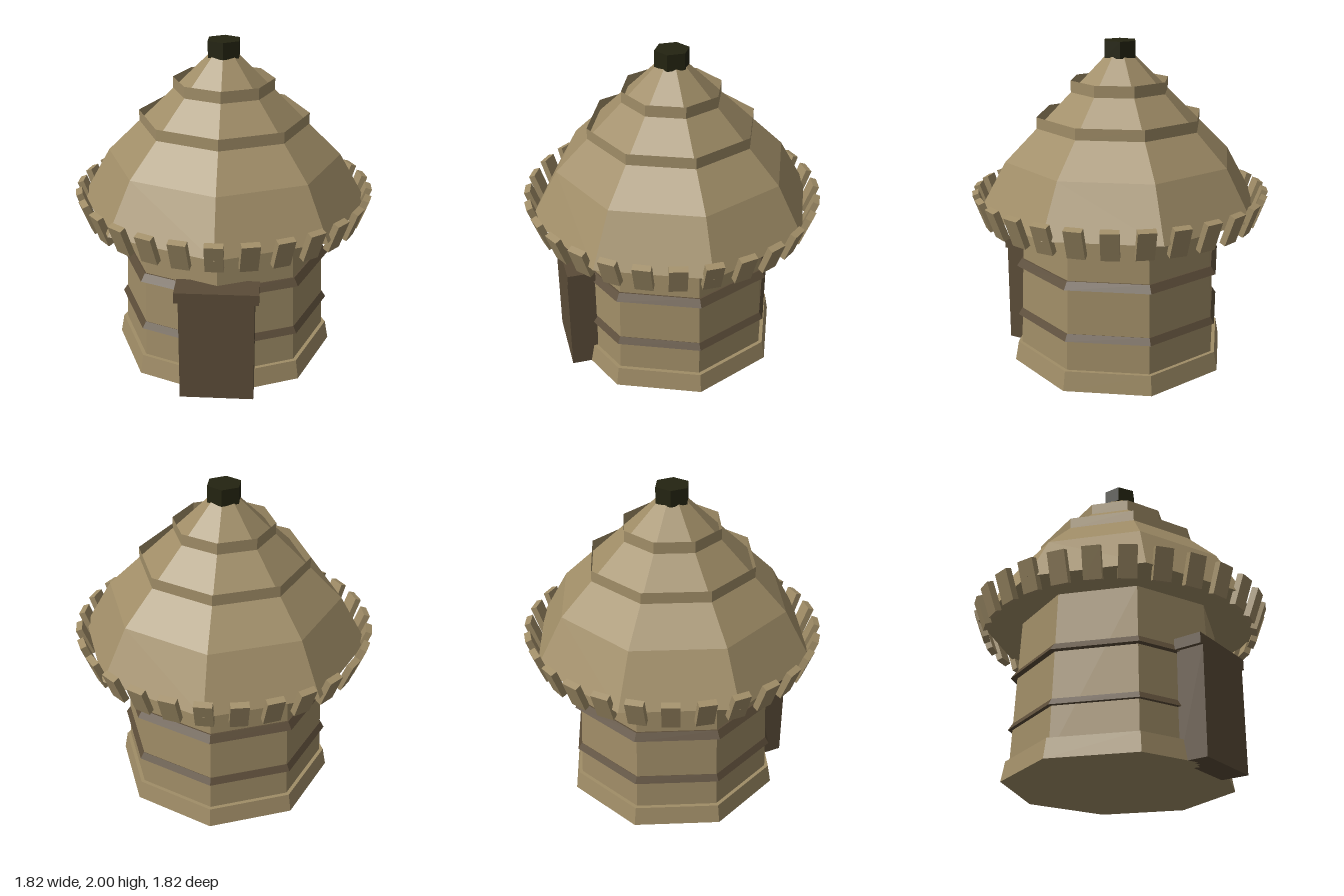
import * as THREE from 'three';

const paint = (name, color, open) => {
  const m = new THREE.MeshStandardMaterial({ color, flatShading: true });
  m.name = name;
  if (open) m.side = THREE.DoubleSide;
  return m;
};

export function createModel() {
  const hut = new THREE.Group();
  hut.name = 'hut';
  const straw = paint('straw', 0xa08d67, true);
  const wood = paint('dark wood', 0x5b4c38);
  const cap = paint('black green', 0x242411);

  const add = (name, geometry, material, x = 0, y = 0, z = 0, parent = hut) => {
    const mesh = new THREE.Mesh(geometry, material);
    mesh.name = name;
    mesh.position.set(x, y, z);
    parent.add(mesh);
    return mesh;
  };
  // Prism between two heights, with a corner facing the front
  const ring = (name, material, y0, y1, r0, r1, sides = 8, open = false) =>
    add(name, new THREE.CylinderGeometry(r1, r0, y1 - y0, sides, 1, open), material, 0, (y0 + y1) / 2);

  // Walls, plinth and wooden hoops
  ring('wall', straw, 0.02, 1.0, 0.648, 0.608);
  ring('plinth', straw, 0, 0.12, 0.69, 0.668);
  ring('lowerHoop', wood, 0.31, 0.35, 0.662, 0.637);
  ring('upperHoop', wood, 0.635, 0.68, 0.662, 0.63);

  // Two-pitch roof with a closed underside
  const roof = [[0, 1], [0.88, 1], [0.71, 1.3], [0.01, 2 - 0.01]].map(p => new THREE.Vector2(...p));
  add('roof', new THREE.LatheGeometry(roof, 8), straw);
  ring('lowerRoofBand', straw, 1.49, 1.56, 0.515, 0.515, 8, true);
  ring('upperRoofBand', straw, 1.70, 1.77, 0.304, 0.304, 8, true);
  ring('finial', cap, 1.9, 2, 0.105, 0.105, 6);

  // Slats leaning outward around the eaves
  const slats = new THREE.Group();
  slats.name = 'eaveSlats';
  hut.add(slats);
  const slatShape = new THREE.BoxGeometry(0.105, 0.187, 0.04);
  const count = 28;
  for (let i = 0; i < count; i++) {
    const pivot = new THREE.Group();
    pivot.name = 'slatPivot';
    pivot.rotation.y = (i / count) * Math.PI * 2;
    slats.add(pivot);
    add('slat', slatShape, straw, 0, 1.01, 0.859, pivot).rotation.x = 0.35;
  }

  // Door with lintel, reaching back into the wall
  add('door', new THREE.BoxGeometry(0.44, 0.64, 0.17), wood, 0, 0.32, 0.635);
  add('lintel', new THREE.BoxGeometry(0.49, 0.065, 0.17), wood, 0, 0.6725, 0.635);
  return hut;
}
